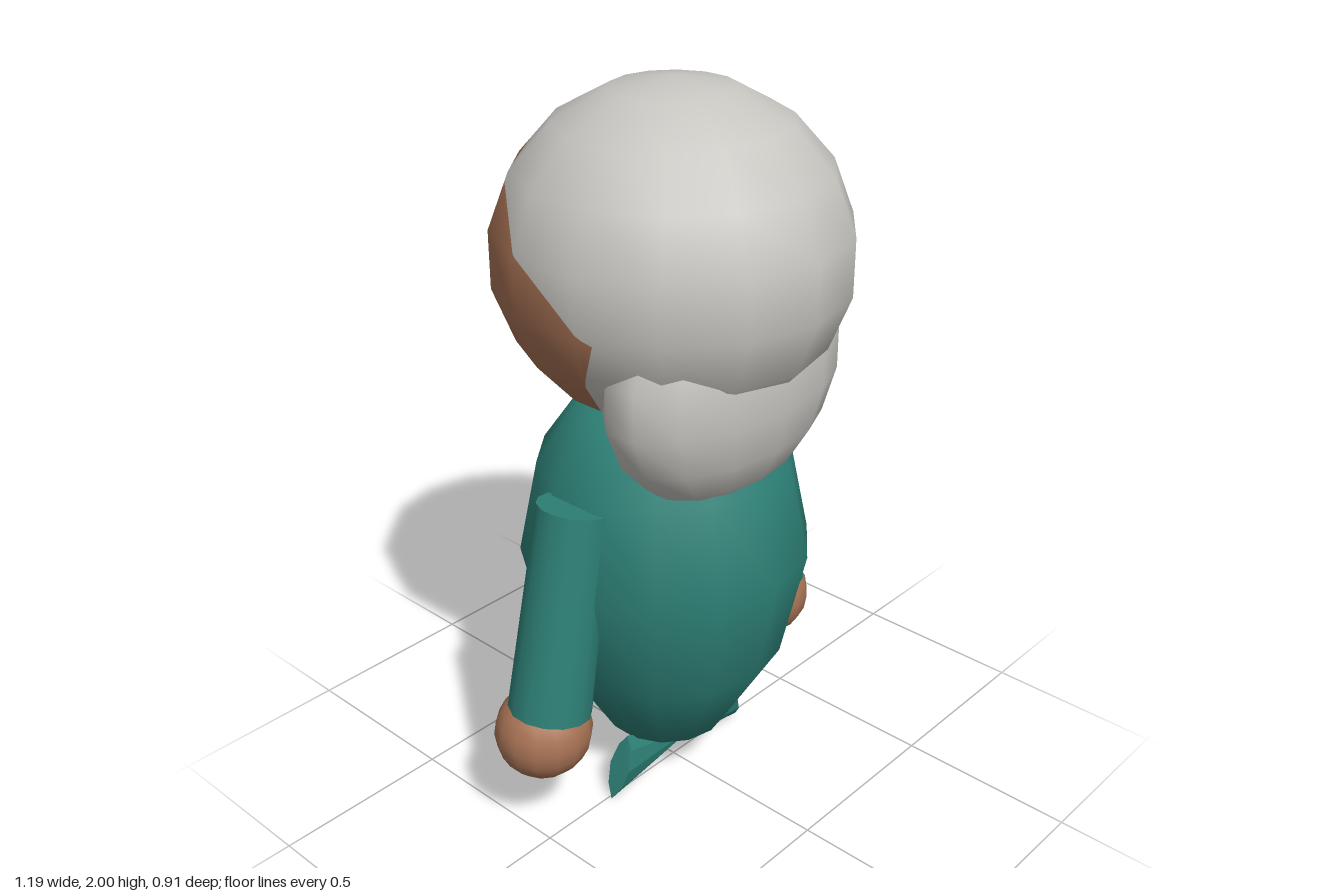
import * as THREE from 'three';
import { ConvexGeometry } from 'three/addons/geometries/ConvexGeometry.js';

const mat = (name, color, side = THREE.FrontSide) => {
  const m = new THREE.MeshStandardMaterial({ color, side });
  m.name = name;
  return m;
};

// Keeps the part of a geometry where plane.distanceToPoint >= 0
function clip(geometry, plane) {
  const g = geometry.index ? geometry.toNonIndexed() : geometry;
  const P = g.attributes.position, N = g.attributes.normal;
  const pos = [], nor = [];
  for (let i = 0; i < P.count; i += 3) {
    const tri = [0, 1, 2].map((k) => {
      const p = new THREE.Vector3().fromBufferAttribute(P, i + k);
      return { p, n: new THREE.Vector3().fromBufferAttribute(N, i + k), d: plane.distanceToPoint(p) };
    });
    const poly = [];
    tri.forEach((a, k) => {
      const b = tri[(k + 1) % 3];
      if (a.d >= 0) poly.push(a);
      if ((a.d >= 0) !== (b.d >= 0)) {
        const t = a.d / (a.d - b.d);
        poly.push({ p: a.p.clone().lerp(b.p, t), n: a.n.clone().lerp(b.n, t).normalize() });
      }
    });
    for (let k = 1; k + 1 < poly.length; k++) {
      for (const v of [poly[0], poly[k], poly[k + 1]]) {
        pos.push(...v.p.toArray());
        nor.push(...v.n.toArray());
      }
    }
  }
  const out = new THREE.BufferGeometry();
  out.setAttribute('position', new THREE.Float32BufferAttribute(pos, 3));
  out.setAttribute('normal', new THREE.Float32BufferAttribute(nor, 3));
  return out;
}

const ellipsoid = (rx, ry, rz, w = 14, h = 9) =>
  new THREE.SphereGeometry(1, w, h).rotateY(Math.PI / 2).scale(rx, ry, rz);

export function createModel() {
  const group = new THREE.Group();
  const skin = mat('skin', 0xa87355);
  const hair = mat('greyHair', 0xc8c6c1, THREE.DoubleSide);
  const cloth = mat('tealCloth', 0x2d8076, THREE.DoubleSide);
  const black = mat('eyeBlack', 0x22230f);
  const white = mat('white', 0xd6d6d6);

  const add = (name, geometry, material, x = 0, y = 0, z = 0) => {
    const mesh = new THREE.Mesh(geometry, material);
    mesh.name = name;
    mesh.position.set(x, y, z);
    group.add(mesh);
    return mesh;
  };

  // Head: one ball divided by a slanting hairline, then by the line behind the cheeks
  const head = ellipsoid(0.462, 0.435, 0.462).translate(0, 1.565, 0);
  const hairline = new THREE.Plane(new THREE.Vector3(0, 1, 0.73), -1.575);
  const cheekLine = new THREE.Plane(new THREE.Vector3(0, -0.45, 1), 0.53);
  const lower = clip(head, hairline.clone().negate());
  add('hairCap', clip(head, hairline), hair);
  add('face', clip(lower, cheekLine.clone().negate()), skin);
  add('hairUnderCap', clip(lower, cheekLine), hair);
  add('napeHair', ellipsoid(0.39, 0.35, 0.21), hair, 0, 1.3, 0.17);

  // Face details
  for (const s of [-1, 1]) {
    const eye = add('eye', ellipsoid(0.042, 0.056, 0.02, 14, 10), black, s * 0.157, 1.6, -0.428);
    eye.rotation.y = -s * 0.2;
    add('eyeGlint', ellipsoid(0.016, 0.018, 0.014, 10, 8), white, s * 0.153 + 0.013, 1.612, -0.446);
  }
  add('mouth', ellipsoid(0.068, 0.028, 0.018, 14, 8), skin, 0, 1.377, -0.419);

  // Egg-shaped body
  const profile = [[0, 0.095], [0.175, 0.16], [0.33, 0.42], [0.397, 0.73], [0.343, 0.99], [0.225, 1.16], [0, 1.2]];
  add('body', new THREE.LatheGeometry(profile.map(([r, y]) => new THREE.Vector2(r, y)), 14), cloth, 0, 0, -0.03);

  // Arms, hands and tail fins
  for (const s of [-1, 1]) {
    const arm = add('sleeve', new THREE.CylinderGeometry(0.1, 0.113, 0.58, 14), cloth, s * 0.394, 0.682, -0.03);
    arm.rotation.z = s * 0.2;
    add('hand', ellipsoid(0.134, 0.13, 0.13, 14, 10), skin, s * 0.463, 0.33, -0.045);
    const fin = [[-0.08, 0.06, 0], [0.2, 0.185, 0], [0.27, 0.003, 0]];
    for (const z of [-1, 1]) {
      fin.push([0.235, 0.095, 0.036 * z], [0.212, 0.15, 0.024 * z], [0.257, 0.04, 0.024 * z]);
    }
    add('tailFin', new ConvexGeometry(fin.map(([x, y, z]) => new THREE.Vector3(s * x, y, z))), cloth, 0, 0, 0.01);
  }

  // Ball held in the left hand
  add('heldBall', ellipsoid(0.08, 0.08, 0.08, 14, 10), white, 0.465, 0.314, -0.175);
  return group;
}
